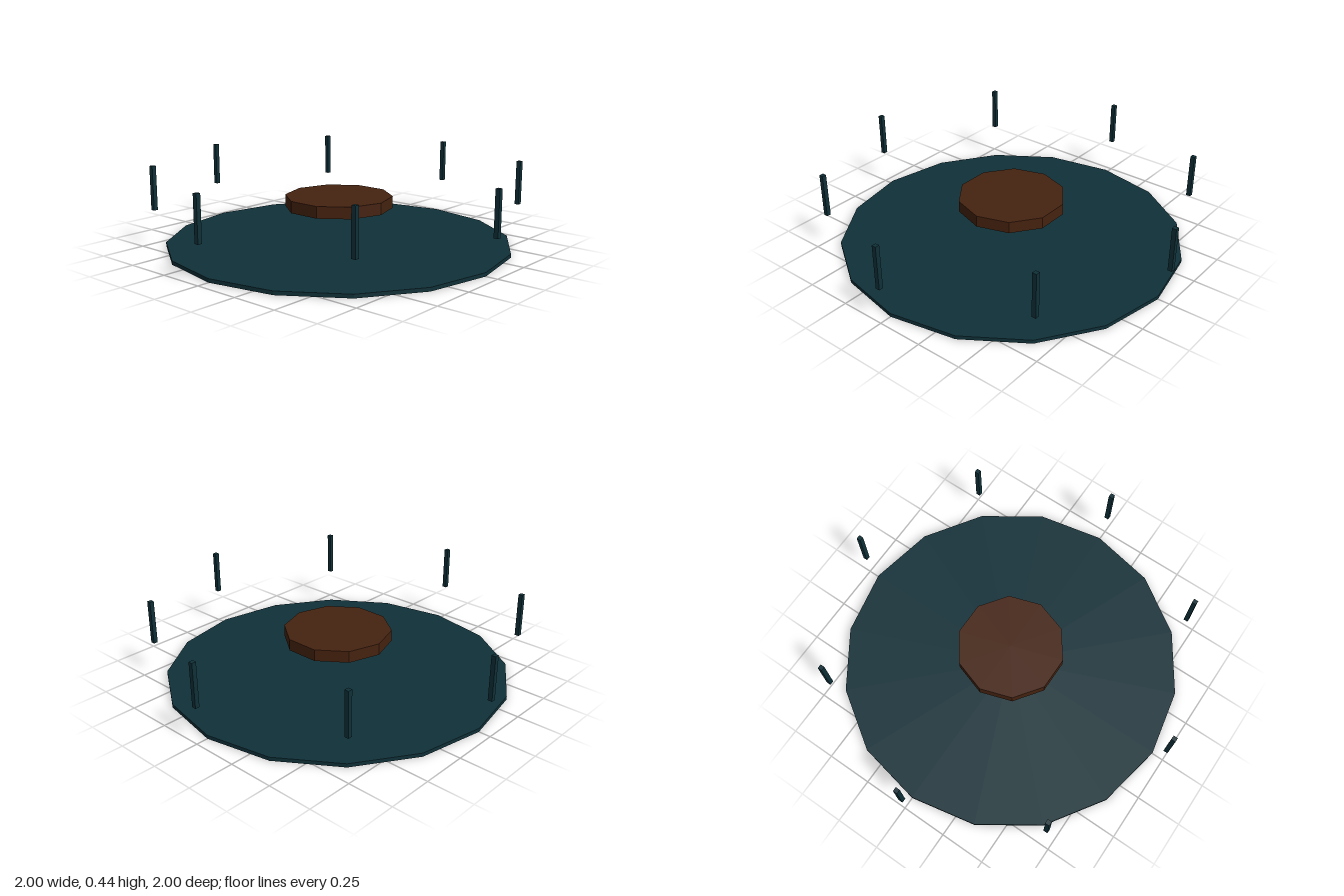
import * as THREE from 'three';

export function createModel() {
  const model = new THREE.Group();
  const darkTeal = new THREE.MeshStandardMaterial({ color: 0x0f3038, flatShading: true });
  darkTeal.name = 'darkTeal';
  const darkBrown = new THREE.MeshStandardMaterial({ color: 0x45220f, flatShading: true });
  darkBrown.name = 'darkBrown';

  function add(name, geometry, material, x, y, z) {
    const mesh = new THREE.Mesh(geometry, material);
    mesh.name = name;
    mesh.position.set(x, y, z);
    model.add(mesh);
    return mesh;
  }

  // Sixteen-sided floor disc
  add('floorDisc', new THREE.CylinderGeometry(0.935, 0.935, 0.02, 16), darkTeal, 0, 0.01, 0);

  // Ten-sided table top floating over the floor, corners on the x axis
  const table = add('tableTop', new THREE.CylinderGeometry(0.292, 0.292, 0.064, 10), darkBrown, 0, 0.233, 0);
  table.rotation.y = Math.PI / 2;

  // Ring of eight slim upright posts, all squared to the axes
  const postGeometry = new THREE.BoxGeometry(0.024, 0.24, 0.024);
  for (let i = 0; i < 8; i++) {
    const a = (i * Math.PI) / 4;
    add('post' + (i + 1), postGeometry, darkTeal, 0.988 * Math.sin(a), 0.32, 0.988 * Math.cos(a));
  }
  return model;
}
